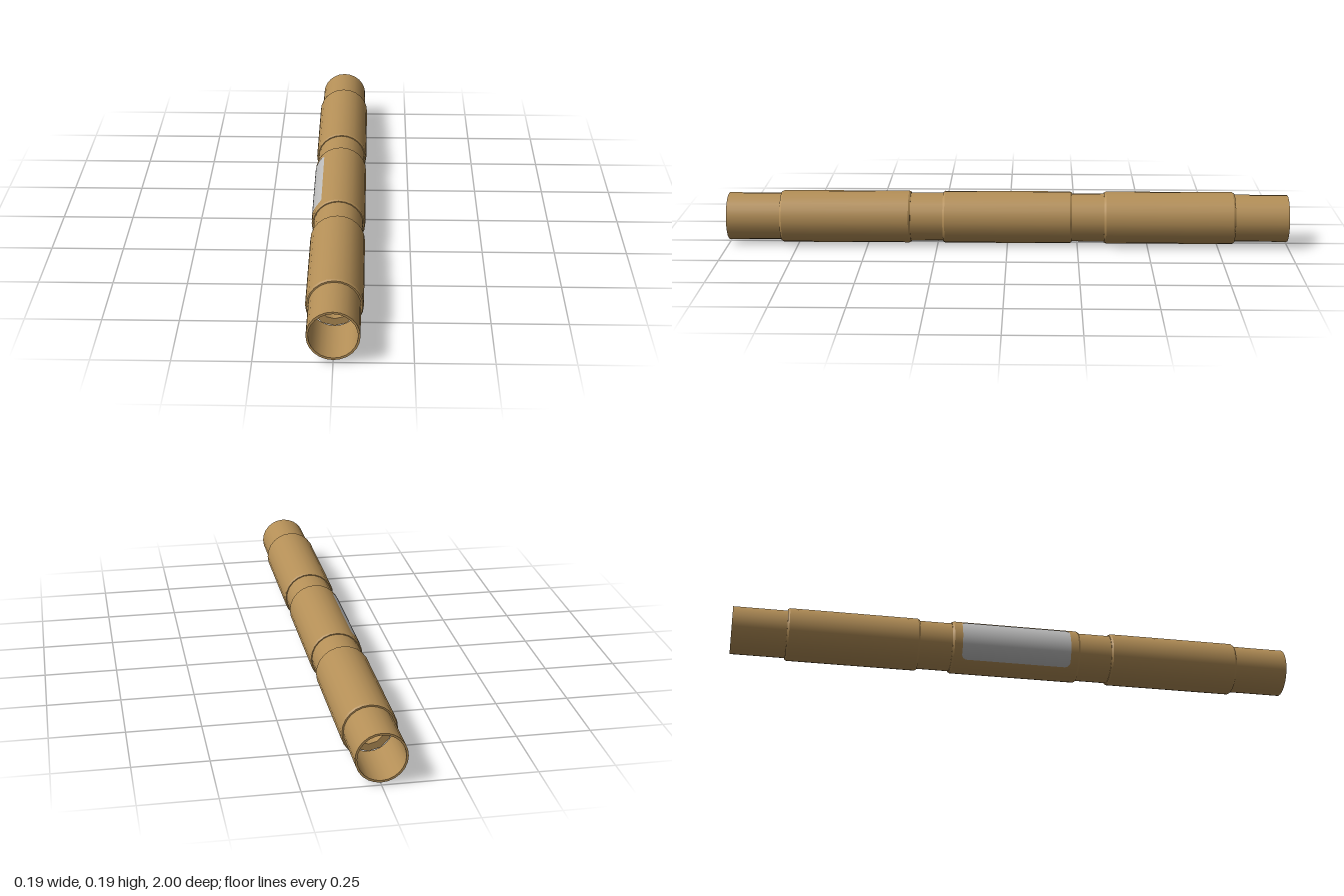
import * as THREE from 'three';
import { mergeGeometries } from 'three/addons/utils/BufferGeometryUtils.js';

const SIDES = 24;
const BODY = 0.093, GROOVE = 0.086, END = 0.084, INNER = 0.077, BORE = 0.052;

// Turned surface along z from [radius, z] points; each step keeps its own sharp edge.
function turned(points, sides = SIDES) {
  const bands = [];
  for (let i = 0; i + 1 < points.length; i++) {
    const pair = [points[i], points[i + 1]].map(([r, z]) => new THREE.Vector2(r, z));
    bands.push(new THREE.LatheGeometry(pair, sides));
  }
  return mergeGeometries(bands).rotateX(Math.PI / 2);
}

// Raised sleeve with small chamfers, stepping down to the given radii at its ends.
function sleeve(z0, z1, r0, r1) {
  const c = 0.007;
  return turned([[r0, z0], [BODY - 0.004, z0], [BODY, z0 + c], [BODY, z1 - c], [BODY - 0.004, z1], [r1, z1]]);
}

// Curved plate on the -x side with rounded corners.
function plateGeometry(radius, halfAngle, halfLength, corner) {
  const pos = [], nor = [], idx = [], steps = 32;
  for (let i = 0; i <= steps; i++) {
    const a = -halfAngle * Math.cos((Math.PI * i) / steps);
    const over = Math.max(0, Math.abs(a) * radius - (halfAngle * radius - corner));
    const half = halfLength - corner + Math.sqrt(Math.max(0, corner * corner - over * over));
    for (const z of [-half, half]) {
      pos.push(-radius * Math.cos(a), radius * Math.sin(a), z);
      nor.push(-Math.cos(a), Math.sin(a), 0);
    }
    if (i < steps) {
      const k = i * 2;
      idx.push(k, k + 1, k + 2, k + 1, k + 3, k + 2);
    }
  }
  const g = new THREE.BufferGeometry();
  g.setAttribute('position', new THREE.Float32BufferAttribute(pos, 3));
  g.setAttribute('normal', new THREE.Float32BufferAttribute(nor, 3));
  g.setIndex(idx);
  return g;
}

export function createModel() {
  const model = new THREE.Group();
  model.name = 'tube';
  const brass = new THREE.MeshStandardMaterial({ color: 0xb48f57 });
  brass.name = 'brass';
  const silver = new THREE.MeshStandardMaterial({ color: 0xbcbcbc, side: THREE.DoubleSide });
  silver.name = 'silver';

  function add(name, geometry, material = brass) {
    const mesh = new THREE.Mesh(geometry, material);
    mesh.name = name;
    mesh.position.y = 0.0935;
    model.add(mesh);
  }

  // Sleeves
  add('middleSleeve', sleeve(-0.23, 0.23, GROOVE, GROOVE));
  add('frontSleeve', sleeve(0.345, 0.81, GROOVE, END));
  add('backSleeve', sleeve(-0.81, -0.345, END, GROOVE));

  // Narrow necks between the sleeves
  add('frontNeck', turned([[GROOVE, 0.23], [GROOVE, 0.345]]));
  add('backNeck', turned([[GROOVE, -0.345], [GROOVE, -0.23]]));

  // Thin-walled open ends, each with an inner shoulder
  add('frontEnd', turned([[END, 0.81], [END, 1], [INNER, 1], [INNER, 0.8]]));
  add('backEnd', turned([[INNER, -0.8], [INNER, -1], [END, -1], [END, -0.81]]));

  // Through bore
  add('bore', turned([[INNER, 0.8], [BORE, 0.8], [BORE, -0.8], [INNER, -0.8]], 12));

  // Side plate
  add('sidePlate', plateGeometry(0.0938, 0.87, 0.195, 0.02), silver);
  return model;
}
